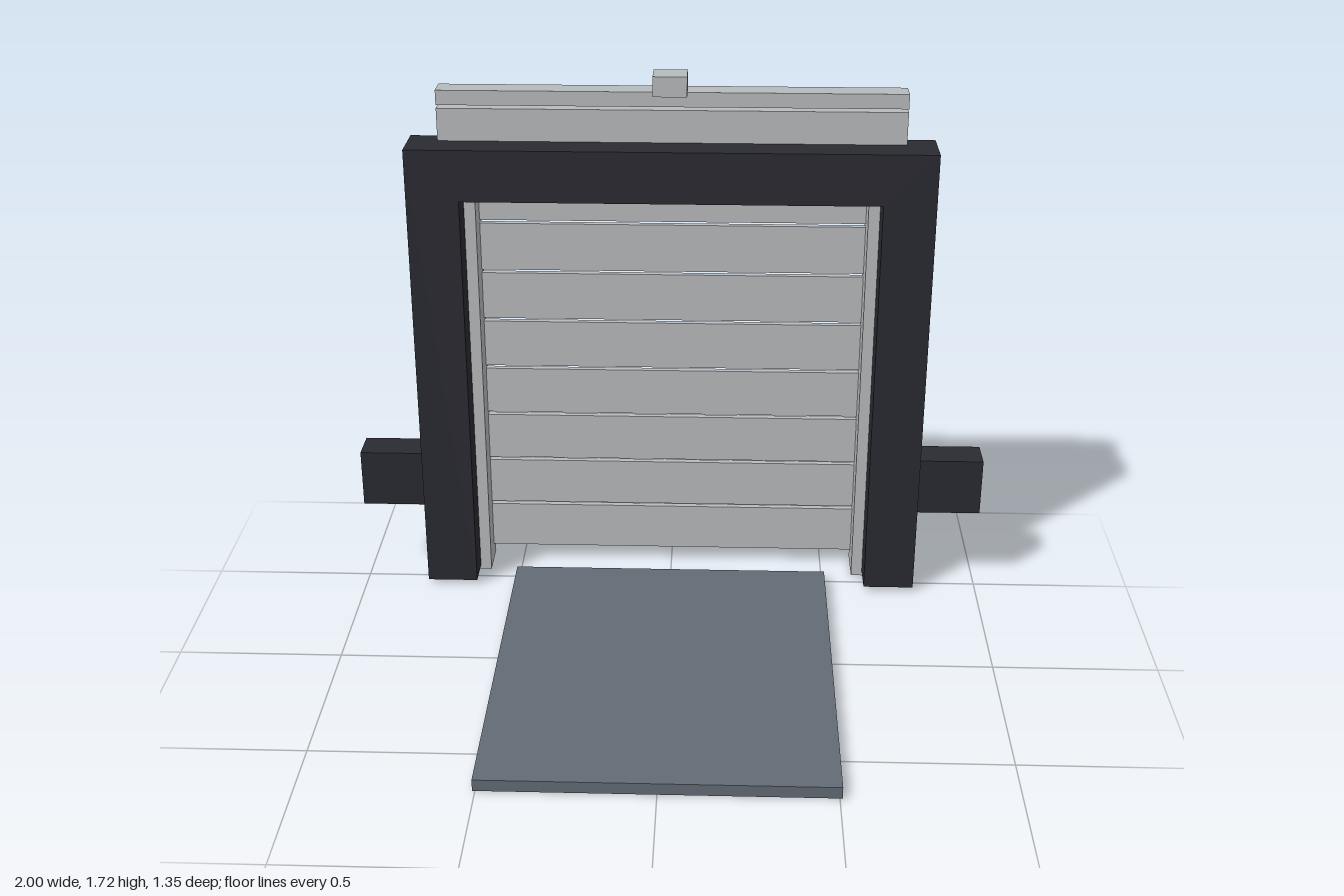
import * as THREE from 'three';

const mat = (name, color) => {
  const m = new THREE.MeshStandardMaterial({ color });
  m.name = name;
  return m;
};

export function createModel() {
  const model = new THREE.Group();
  model.name = 'rollerDoor';
  const dark = mat('dark frame', 0x2a2a32);
  const metal = mat('light metal', 0xb8bbbe);
  const slate = mat('slate mat', 0x626b75);

  // Box given by its limits on each axis
  const box = (name, material, [x0, x1], [y0, y1], [z0, z1]) => {
    const mesh = new THREE.Mesh(new THREE.BoxGeometry(x1 - x0, y1 - y0, z1 - z0), material);
    mesh.position.set((x0 + x1) / 2, (y0 + y1) / 2, (z0 + z1) / 2);
    mesh.name = name;
    model.add(mesh);
  };
  const pair = (name, material, [x0, x1], y, z) => {
    box(name + 'Left', material, [x0, x1], y, z);
    box(name + 'Right', material, [-x1, -x0], y, z);
  };

  // U-shaped portal extruded as one piece: outer half width, inner half width, heights, depth
  const portal = (name, material, outer, inner, bottom, under, top, [z0, z1]) => {
    const shape = new THREE.Shape([
      [-outer, bottom], [-inner, bottom], [-inner, under], [inner, under],
      [inner, bottom], [outer, bottom], [outer, top], [-outer, top],
    ].map(([x, y]) => new THREE.Vector2(x, y)));
    const geometry = new THREE.ExtrudeGeometry(shape, { depth: z1 - z0, bevelEnabled: false });
    const mesh = new THREE.Mesh(geometry, material);
    mesh.position.z = z0;
    mesh.name = name;
    model.add(mesh);
  };

  // Heavy outer surround and the lighter door frame behind it
  portal('outerSurround', dark, 0.795, 0.635, 0.015, 1.32, 1.48, [-0.6, -0.445]);
  portal('doorFrame', metal, 0.705, 0.6, 0, 1.475, 1.58, [-0.675, -0.545]);

  // Side brackets
  pair('sideBracket', dark, [0.795, 1], [0.27, 0.455], [-0.6, -0.49]);

  // Door slats with narrow gaps, the last one running up to the header
  const pitch = 0.1645;
  for (let i = 0; i < 9; i++) {
    const y = 0.05 + i * pitch;
    box('doorSlat' + (i + 1), metal, [-0.6, 0.6], [y, Math.min(y + pitch - 0.011, 1.475)], [-0.65, -0.63]);
  }

  // Rail above the frame, and the small sensor in front of it
  box('topRail', metal, [-0.705, 0.705], [1.59, 1.635], [-0.62, -0.545]);
  box('sensor', metal, [-0.05, 0.05], [1.66, 1.72], [-0.48, -0.397]);

  // Floor plate
  box('floorPlate', slate, [-0.507, 0.507], [0.004, 0.04], [-0.495, 0.675]);

  return model;
}
